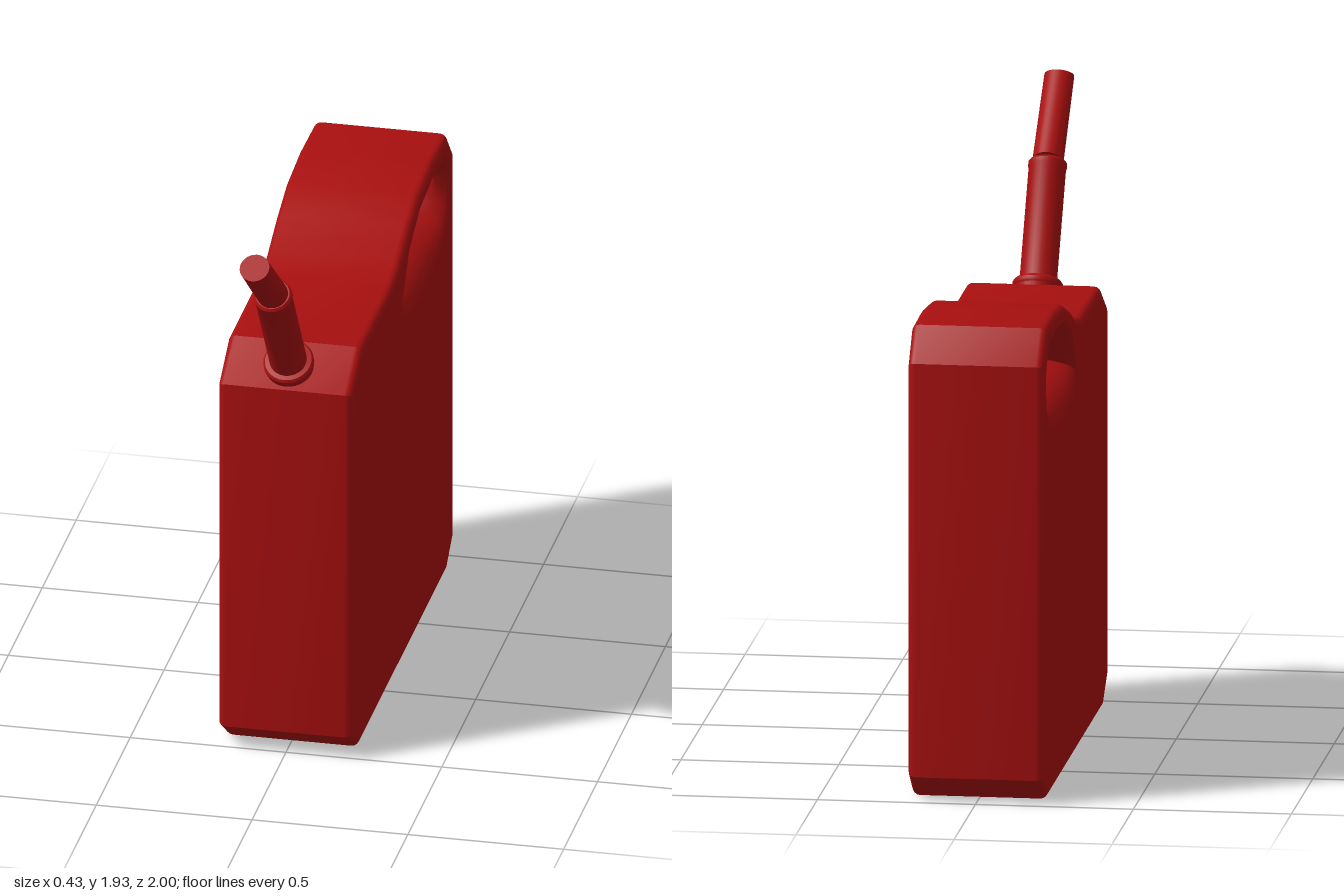
import * as THREE from 'three';
import { toCreasedNormals } from 'three/addons/utils/BufferGeometryUtils.js';

const material = new THREE.MeshStandardMaterial({ color: 0xa80f0f });
const W = 0.215; // half width of the can
const R = 0.025; // edge rounding

// Side outline of the can, [z, y], front to back over the top
const outline = [
  [0.52, 1.27], [0.36, 1.365], [-0.07, 1.365], [-0.2, 1.39], [-0.34, 1.45], [-0.49, 1.5],
  [-0.69, 1.52], [-0.9, 1.515], [-0.995, 1.41], [-0.995, 0.08], [-0.89, 0], [0.41, 0], [0.52, 0.08],
];
// Handle opening where it meets the side faces, and at the middle of the can
const holeWide = [
  [-0.21, 1.22], [-0.33, 1.38], [-0.49, 1.45], [-0.69, 1.47], [-0.87, 1.455], [-0.94, 1.37],
  [-0.925, 1.25], [-0.85, 1.19], [-0.7, 1.15], [-0.5, 1.13], [-0.33, 1.15],
];
const holeNarrow = [
  [-0.26, 1.275], [-0.34, 1.35], [-0.49, 1.41], [-0.69, 1.42], [-0.85, 1.4], [-0.9, 1.355],
  [-0.87, 1.29], [-0.85, 1.27], [-0.7, 1.26], [-0.5, 1.255], [-0.33, 1.262],
];

function mesh(name, geometry, parent) {
  const m = new THREE.Mesh(geometry, material);
  m.name = name;
  parent.add(m);
  return m;
}

// Move every side of a closed outline inwards by d
function inset(points, d) {
  const n = points.length;
  const normal = (a, b) => {
    const l = Math.hypot(b[0] - a[0], b[1] - a[1]);
    return [(a[1] - b[1]) / l, (b[0] - a[0]) / l];
  };
  return points.map((p, i) => {
    const n1 = normal(points[(i + n - 1) % n], p);
    const n2 = normal(p, points[(i + 1) % n]);
    const k = d / (1 + n1[0] * n2[0] + n1[1] * n2[1]);
    return [p[0] + (n1[0] + n2[0]) * k, p[1] + (n1[1] + n2[1]) * k];
  });
}

// Skin closed rings { x, points } lying side by side along x
function loft(rings, outward, crease) {
  const n = rings[0].points.length;
  const positions = rings.flatMap(({ x, points }) => points.flatMap(([z, y]) => [x, y, z]));
  const index = [];
  for (let i = 0; i < rings.length - 1; i++) {
    for (let j = 0; j < n; j++) {
      const a = i * n + j, b = i * n + (j + 1) % n, c = b + n, d = a + n;
      index.push(...(outward ? [a, d, c, a, c, b] : [a, b, c, a, c, d]));
    }
  }
  const g = new THREE.BufferGeometry();
  g.setAttribute('position', new THREE.Float32BufferAttribute(positions, 3));
  g.setIndex(index);
  return toCreasedNormals(g, crease);
}

// Flat side face with the handle opening cut out
function sideFace(side) {
  const flat = (points) => points.map(([z, y]) => new THREE.Vector2(-side * z, y));
  const shape = new THREE.Shape(flat(inset(outline, R)));
  shape.holes.push(new THREE.Path(flat(holeWide)));
  return new THREE.ShapeGeometry(shape).rotateY(side * Math.PI / 2).translate(side * W, 0, 0);
}

// Group whose +y axis runs from one [z, y] point to another
function alongAxis(name, from, to, parent) {
  const g = new THREE.Group();
  g.name = name;
  g.position.set(0, from[1], from[0]);
  g.rotation.x = Math.atan2(to[0] - from[0], to[1] - from[1]);
  parent.add(g);
  return g;
}

function lathe(profile) {
  const points = profile.map(([r, y]) => new THREE.Vector2(r, y));
  return toCreasedNormals(new THREE.LatheGeometry(points, 28), 0.6);
}

export function createModel() {
  const model = new THREE.Group();
  model.name = 'fuelCan';

  // Can body: rounded outer skin and two side faces
  const body = new THREE.Group();
  body.name = 'body';
  model.add(body);
  const half = [];
  for (let i = 0; i <= 4; i++) {
    const t = (i / 4) * Math.PI / 2;
    half.push({ x: -W + R * (1 - Math.cos(t)), points: inset(outline, R * (1 - Math.sin(t))) });
  }
  const otherHalf = half.map(({ x, points }) => ({ x: -x, points })).reverse();
  mesh('outerSkin', loft([...half, ...otherHalf], true, 0.5), body);
  mesh('leftSide', sideFace(1), body);
  mesh('rightSide', sideFace(-1), body);

  // Scooped handle opening, narrowing to the middle of the can
  const scoop = [];
  for (let i = 0; i <= 18; i++) {
    const t = (i / 18) * Math.PI;
    const s = Math.sin(t);
    scoop.push({
      x: -W * Math.cos(t),
      points: holeWide.map(([z, y], k) => [
        z + (holeNarrow[k][0] - z) * s, y + (holeNarrow[k][1] - y) * s,
      ]),
    });
  }
  mesh('handleOpening', loft(scoop, false, 1), body);

  // Spout: collar and lower tube
  const base = [0.45, 1.325], bend = [0.695, 1.685], tip = [0.963, 1.903];
  const spout = new THREE.Group();
  spout.name = 'spout';
  model.add(spout);
  const lower = alongAxis('lowerSpout', base, bend, spout);
  mesh('collar', lathe([
    [0.076, -0.03], [0.076, 0.004], [0.08, 0.01], [0.08, 0.022], [0.074, 0.03], [0.058, 0.032],
  ]), lower);
  mesh('lowerTube', lathe([
    [0.059, 0], [0.059, 0.41], [0.061, 0.415], [0.061, 0.43], [0.054, 0.438], [0, 0.438],
  ]), lower);

  // Upper tube with a slanted tip
  const upper = alongAxis('upperSpout', bend, tip, spout);
  const length = Math.hypot(tip[0] - bend[0], tip[1] - bend[1]);
  const tube = new THREE.CylinderGeometry(0.047, 0.049, length, 28).translate(0, length / 2, 0);
  const p = tube.attributes.position;
  for (let i = 0; i < p.count; i++) {
    if (p.getY(i) > length / 2) p.setY(i, p.getY(i) + 0.32 * p.getZ(i));
  }
  mesh('upperTube', toCreasedNormals(tube, 0.6), upper);

  return model;
}
